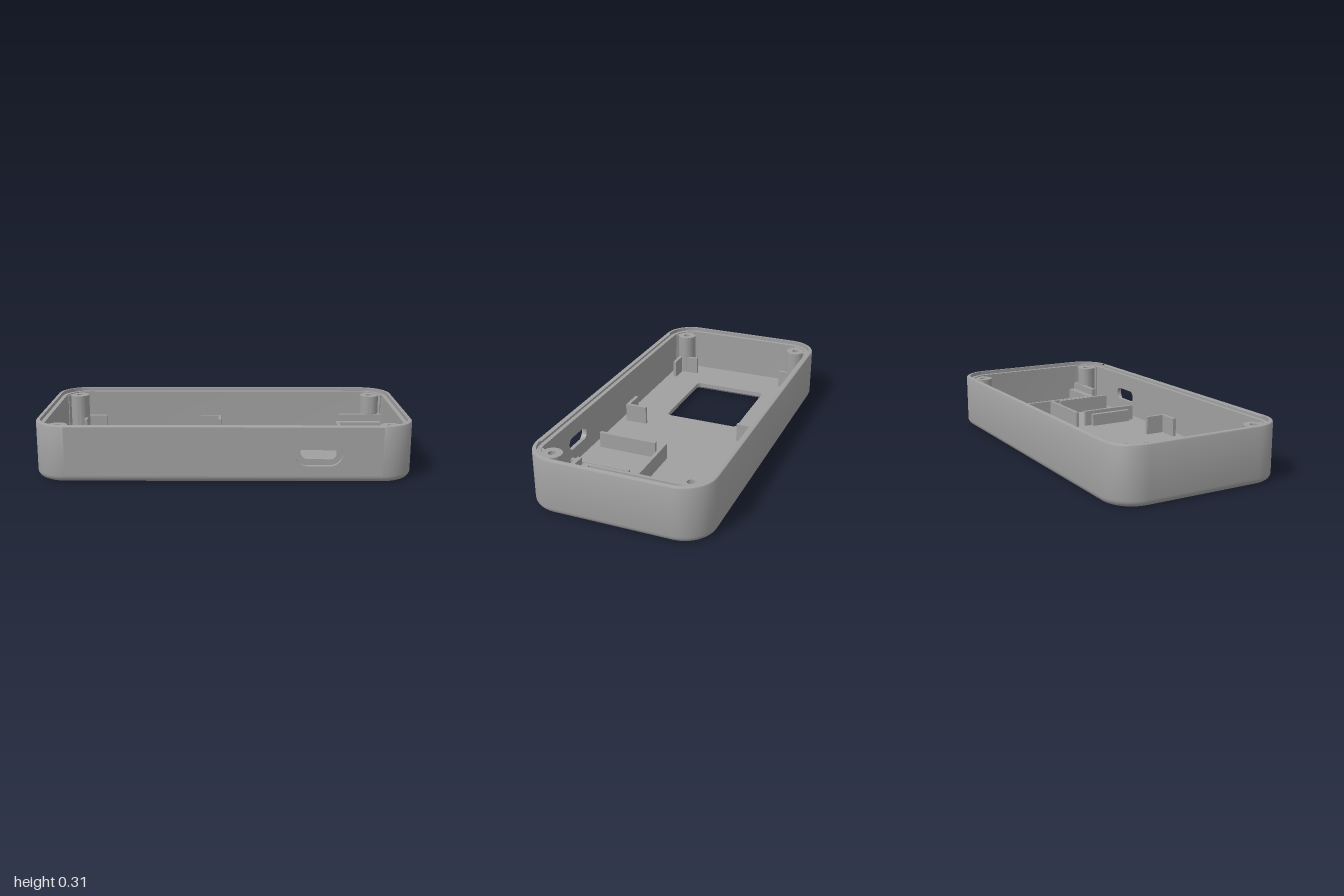
import * as THREE from 'three';
import { toCreasedNormals } from 'three/addons/utils/BufferGeometryUtils.js';

const HX = 1, HZ = 0.49, R = 0.17;          // outer footprint
const FLOOR = 0.04, LEDGE = 0.285, TOP = 0.305;
const LIP = 0.022, WALL = 0.045, FILLET = 0.035;
const N = 10;                               // segments per rounded corner

export function createModel() {
  const model = new THREE.Group();
  const plastic = new THREE.MeshStandardMaterial({ color: 0xa0a0a0 });
  plastic.name = 'greyPlastic';

  function add(name, geometry, parent = model) {
    const mesh = new THREE.Mesh(toCreasedNormals(geometry, 0.5), plastic);
    mesh.name = name;
    parent.add(mesh);
    return mesh;
  }

  // Rounded rectangle (or circle) outline as [x, z] points
  function ring(cx, cz, hx, hz, r) {
    const points = [];
    [[1, 1], [-1, 1], [-1, -1], [1, -1]].forEach(([sx, sz], k) => {
      for (let i = 0; i <= N; i++) {
        const a = (k + i / N) * Math.PI / 2;
        points.push([cx + sx * (hx - r) + r * Math.cos(a), cz + sz * (hz - r) + r * Math.sin(a)]);
      }
    });
    return points;
  }
  const inset = (d) => ring(0, 0, HX - d, HZ - d, R - d);
  const circle = (x, z, r) => ring(x, z, r, r, r * 0.9999);

  // Skin through stacked outlines; bands marked open leave out the front wall
  function loft(levels) {
    const pos = [], index = [], count = levels[0].points.length;
    for (const l of levels) for (const [x, z] of l.points) pos.push(x, l.y, z);
    for (let i = 0; i < levels.length - 1; i++) {
      for (let j = 0; j < count; j++) {
        if (levels[i].open && j === N) continue;
        const a = i * count + j, b = i * count + (j + 1) % count;
        index.push(a, a + count, b, b, a + count, b + count);
      }
    }
    const g = new THREE.BufferGeometry();
    g.setAttribute('position', new THREE.Float32BufferAttribute(pos, 3));
    g.setIndex(index);
    return g;
  }

  // Flat horizontal face with holes, facing up (+1) or down (-1)
  function sheet(outline, holes, y, facing) {
    const vec = (pts) => pts.map(([x, z]) => new THREE.Vector2(x, -facing * z));
    const shape = new THREE.Shape(vec(outline));
    shape.holes = holes.map((h) => new THREE.Path(vec(h)));
    return new THREE.ShapeGeometry(shape).rotateX(-facing * Math.PI / 2).translate(0, y, 0);
  }

  // Outer wall, rounded bottom edge, rim, lip ledge and inner wall
  const levels = [];
  for (let i = 0; i <= 6; i++) {
    const a = i / 6 * Math.PI / 2;
    levels.push({ points: inset(FILLET * (1 - Math.sin(a))), y: FILLET * (1 - Math.cos(a)) });
  }
  levels[6].open = true;
  levels.push(
    { points: inset(0), y: TOP - 0.008 },
    { points: inset(0.003), y: TOP - 0.002 },
    { points: inset(0.008), y: TOP },
    { points: inset(LIP), y: TOP, open: true },
    { points: inset(LIP), y: LEDGE },
    { points: inset(WALL), y: LEDGE, open: true },
    { points: inset(WALL), y: FLOOR });
  add('caseWall', loft(levels));

  // Front wall: outer plate with the port pocket, inner plate with the port slot
  function frontPlate(name, y0, y1, z0, z1, hx, hy, r) {
    const e = HX - R;
    const shape = new THREE.Shape([[-e, y0], [e, y0], [e, y1], [-e, y1]].map((p) => new THREE.Vector2(...p)));
    shape.holes.push(new THREE.Path(ring(0.495, 0.157, hx, hy, r).map((p) => new THREE.Vector2(...p))));
    add(name, new THREE.ExtrudeGeometry(shape, { depth: z1 - z0, bevelEnabled: false }).translate(0, 0, z0));
  }
  frontPlate('portPocket', FILLET, TOP - 0.008, HZ - LIP, HZ, 0.125, 0.067, 0.066);
  frontPlate('portSlot', FLOOR, LEDGE, HZ - WALL, HZ - LIP, 0.095, 0.035, 0.033);

  // Floor with screen window, three button holes and a round recess
  const windowTop = ring(-0.435, -0.005, 0.255, 0.22, 0.025);
  const windowBottom = ring(-0.435, -0.005, 0.27, 0.235, 0.03);
  const buttons = [-0.2, 0, 0.195].map((z) => circle(0.82, z, 0.068));
  const recess = circle(0.583, -0.24, 0.057);
  add('floorTop', sheet(inset(WALL), [windowTop, ...buttons, recess], FLOOR, 1));
  add('floorBottom', sheet(inset(FILLET), [windowBottom, ...buttons], 0, -1));
  add('windowEdge', loft([
    { points: windowTop, y: FLOOR }, { points: windowTop, y: 0.015 }, { points: windowBottom, y: 0 }]));
  for (const b of buttons) add('buttonHole', loft([{ points: b, y: FLOOR }, { points: b, y: 0 }]));
  add('recessWall', loft([{ points: recess, y: FLOOR }, { points: recess, y: 0.02 }]));
  add('recessFloor', sheet(recess, [], 0.02, 1));

  // Screw posts joined to the corners
  for (const sx of [-1, 1]) for (const sz of [-1, 1]) {
    const post = new THREE.Group();
    post.name = 'screwPost';
    post.position.set(sx * 0.883, 0, sz * 0.373);
    model.add(post);
    const h = 0.28 - FLOOR;
    const shape = new THREE.Shape().absarc(0, 0, 0.055, 0, Math.PI * 2);
    shape.holes.push(new THREE.Path().absarc(0, 0, 0.02, 0, Math.PI * 2, true));
    add('postTube', new THREE.ExtrudeGeometry(shape, { depth: h, bevelEnabled: false, curveSegments: 24 })
      .rotateX(-Math.PI / 2).translate(0, FLOOR, 0), post);
    add('postWeb', new THREE.BoxGeometry(0.025, h, 0.13).translate(0.0375, FLOOR + h / 2, 0)
      .rotateY(-Math.atan2(sz, sx)), post);
  }

  // Upright ribs on the floor
  function rib(name, x0, x1, z0, z1, top) {
    add(name, new THREE.BoxGeometry(x1 - x0, top - FLOOR, z1 - z0)
      .translate((x0 + x1) / 2, (top + FLOOR) / 2, (z0 + z1) / 2));
  }

  // Four corner brackets holding the screen
  for (const s of [-1, 1]) {
    const [z0, z1] = s < 0 ? [-0.407, -0.387] : [0.387, 0.407];
    const [w0, w1] = s < 0 ? [-0.387, -0.285] : [0.28, 0.387];
    rib('screenBracket', -0.85, -0.727, z0, z1, 0.145);
    rib('screenBracket', -0.85, -0.832, w0, w1, 0.145);
    rib('screenBracket', -0.145, -0.017, z0, z1, 0.145);
    rib('screenBracket', -0.035, -0.017, w0, w1, 0.145);
  }

  // Bay behind the port
  rib('portBayBack', 0.32, 0.673, -0.003, 0.016, 0.13);
  rib('portBaySide', 0.32, 0.34, 0.06, 0.397, 0.13);
  rib('portBaySide', 0.65, 0.67, 0.06, 0.397, 0.13);
  rib('portBayStop', 0.295, 0.32, 0.1, 0.355, 0.11);

  // Button board support: long rib, end shelves and taller end stops
  rib('buttonRib', 0.675, 0.695, -0.32, 0.312, 0.13);
  rib('buttonShelf', 0.695, 0.945, -0.318, -0.28, 0.13);
  rib('buttonShelf', 0.695, 0.945, 0.275, 0.314, 0.13);
  rib('buttonStop', 0.695, 0.95, -0.343, -0.318, 0.17);
  rib('buttonStop', 0.695, 0.95, 0.314, 0.339, 0.17);

  return model;
}
